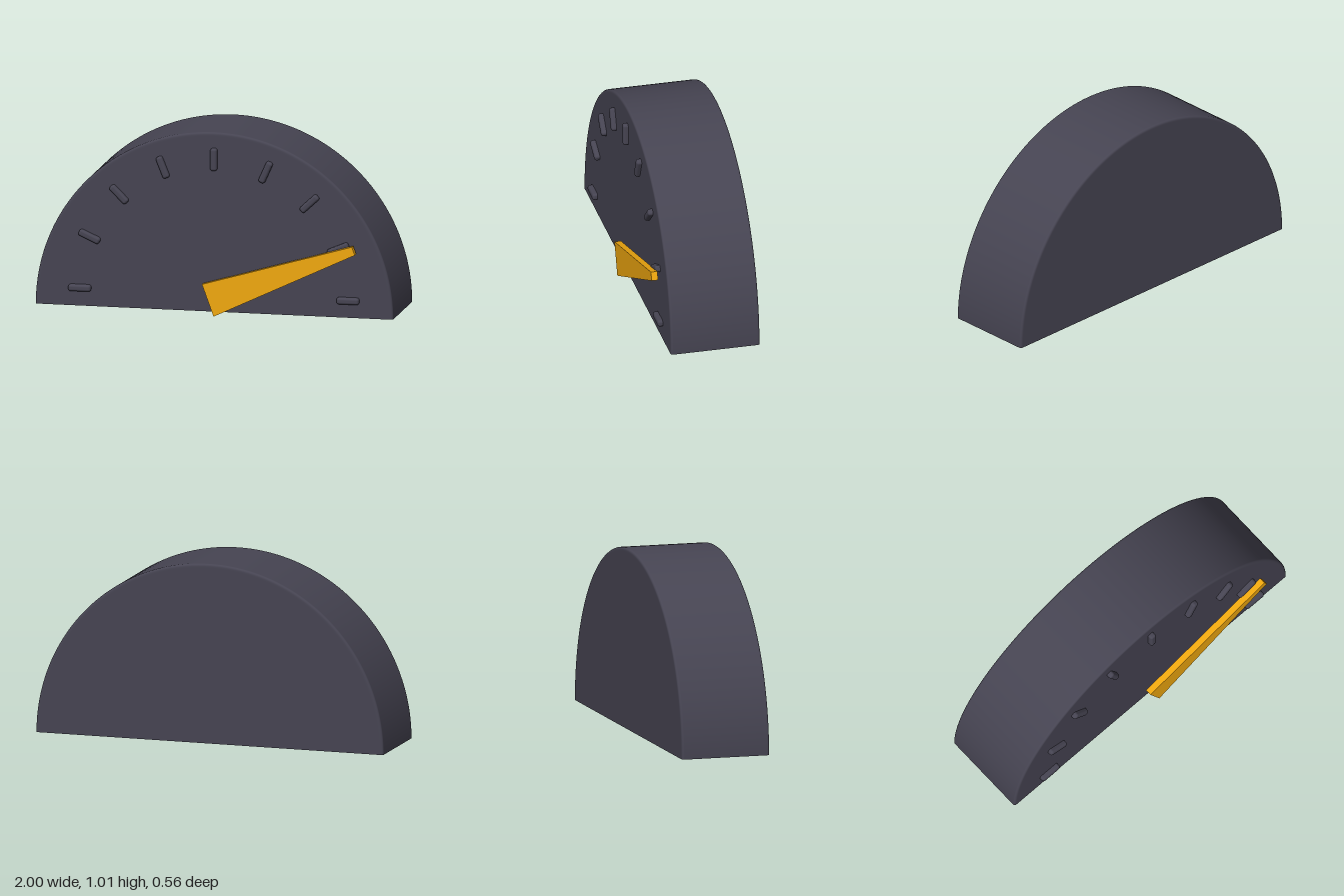
import * as THREE from 'three';
import { RoundedBoxGeometry } from 'three/addons/geometries/RoundedBoxGeometry.js';

const BASE = 0.015, BACK = -0.28, FRONT = 0.22, BEVEL = 0.013;

export function createModel() {
  const model = new THREE.Group();
  model.name = 'gauge';
  const dark = new THREE.MeshStandardMaterial({ color: 0x464452 });
  const gold = new THREE.MeshStandardMaterial({ color: 0xf0a80f });

  function add(name, geometry, material, parent = model) {
    const mesh = new THREE.Mesh(geometry, material);
    mesh.name = name;
    parent.add(mesh);
    return mesh;
  }

  // Half-disc housing: a profile with softly rounded rims, swept half a turn
  const profile = [new THREE.Vector2(0, BACK), new THREE.Vector2(0.98, BACK)];
  for (const [z, start] of [[BACK + BEVEL, -Math.PI / 2], [FRONT - BEVEL, 0]]) {
    for (let i = 0; i <= 4; i++) {
      const a = start + (i / 4) * (Math.PI / 2);
      profile.push(new THREE.Vector2(1 - BEVEL + BEVEL * Math.cos(a), z + BEVEL * Math.sin(a)));
    }
  }
  profile.push(new THREE.Vector2(0.98, FRONT), new THREE.Vector2(0, FRONT));

  const housing = new THREE.Group();
  housing.name = 'housing';
  housing.position.y = BASE;
  model.add(housing);
  const shell = new THREE.LatheGeometry(profile, 96, Math.PI / 2, Math.PI).rotateX(Math.PI / 2);
  add('housingShell', shell, dark, housing);

  // Flat underside with the same rounded outline
  const mirrored = profile.slice(1, -1).reverse().map((p) => new THREE.Vector2(-p.x, p.y));
  const outline = new THREE.Shape([...profile.slice(1, -1), ...mirrored]);
  add('housingBase', new THREE.ShapeGeometry(outline).rotateX(Math.PI / 2), dark, housing);

  // Dial marks: x, y and tilt in degrees
  const marks = [
    [-0.75, 0.116, 0], [-0.695, 0.405, -24], [-0.53, 0.648, -45], [-0.286, 0.81, -68],
    [0, 0.866, 90],
    [0.29, 0.808, 66], [0.535, 0.644, 43], [0.695, 0.397, 23], [0.75, 0.11, 0],
  ];
  const markGeometry = new RoundedBoxGeometry(0.126, 0.038, 0.06, 3, 0.014);
  for (const [x, y, tilt] of marks) {
    const mark = add('dialMark', markGeometry, dark);
    mark.position.set(x, y, 0.218);
    mark.rotation.z = THREE.MathUtils.degToRad(tilt);
  }

  // Tapered needle floating just in front of the marks
  const needle = new THREE.Shape([
    new THREE.Vector2(0.01, 0), new THREE.Vector2(0.8, 0.378),
    new THREE.Vector2(0.783, 0.423), new THREE.Vector2(-0.055, 0.177),
  ]);
  const needleGeometry = new THREE.ExtrudeGeometry(needle, { depth: 0.036, bevelEnabled: false });
  add('needle', needleGeometry, gold).position.z = 0.244;

  return model;
}
